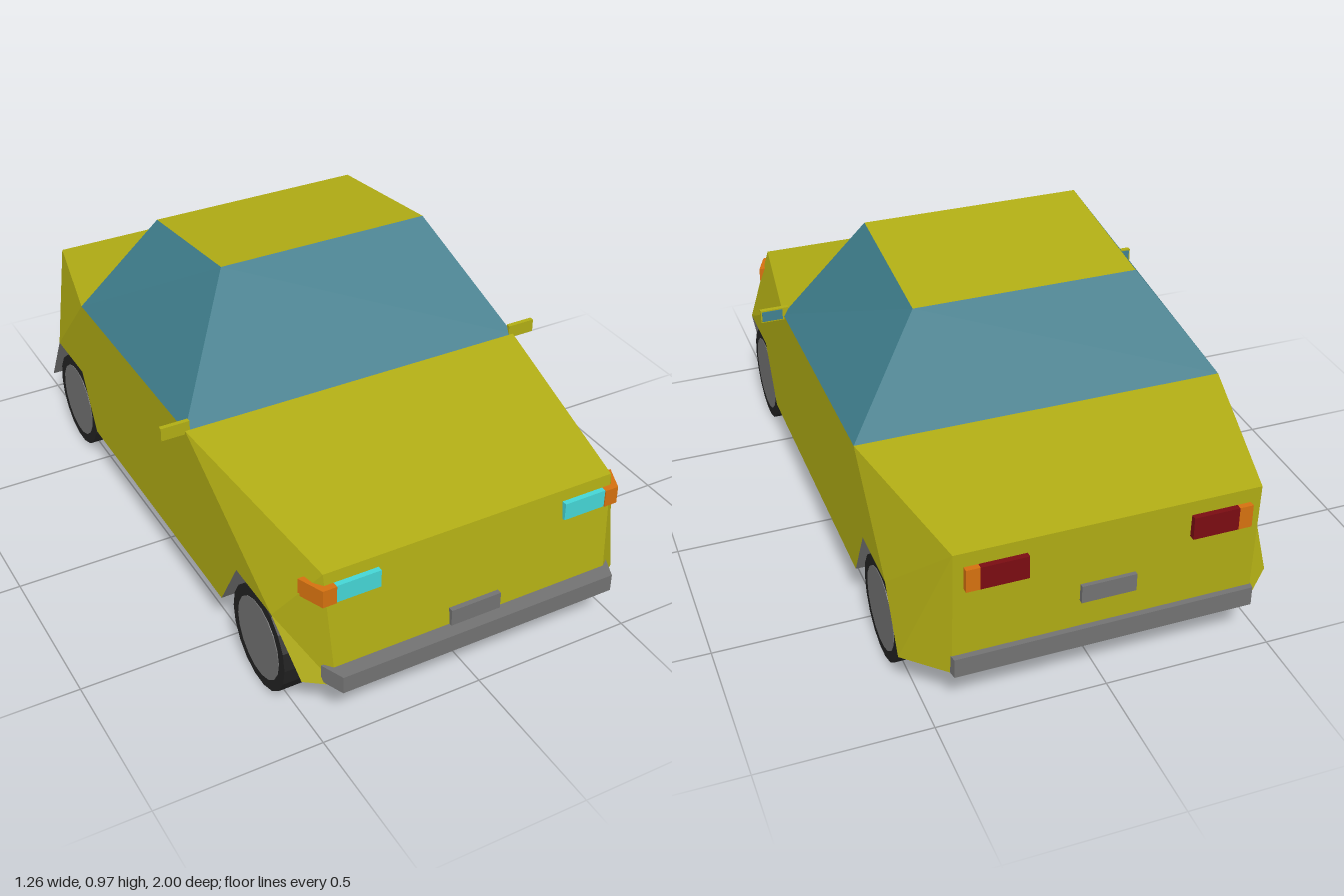
import * as THREE from 'three';

const mat = (color, side = THREE.FrontSide) =>
  new THREE.MeshStandardMaterial({ color, side, flatShading: true });
const paint = mat(0xb0ac14);
const glass = mat(0x40808f);
const trim = mat(0x727272);
const liner = mat(0x727272, THREE.DoubleSide);
const under = mat(0x333333, THREE.DoubleSide);
const rubber = mat(0x222222);
const lamp = mat(0x45d5d5);
const amber = mat(0xd4700f);
const red = mat(0x7a0c12);

// Corners on the left (+x) half of the body
const P = {
  beltF: [0.555, 0.605, 0.29], beltR: [0.555, 0.605, -0.5],
  hood: [0.46, 0.51, 0.92], nose: [0.44, 0.15, 0.96],
  deck: [0.44, 0.55, -0.985], tail: [0.44, 0.15, -0.97],
  roofF: [0.335, 0.975, 0.09], roofR: [0.335, 0.92, -0.365],
};
const frontArch = [[0.515, 0.15, 0.905], [0.555, 0.33, 0.81], [0.555, 0.33, 0.6], [0.555, 0.15, 0.495]];
const rearArch = [[0.555, 0.15, -0.455], [0.555, 0.33, -0.55], [0.555, 0.33, -0.76], [0.555, 0.15, -0.86]];
const WELL_X = 0.42;

const flip = ([x, y, z]) => [-x, y, z];
const mirrored = (faces) => [...faces, ...faces.map((f) => f.map(flip).reverse())];
// Face spanning both halves from edge a-b
const across = (a, b) => [a, b, flip(b), flip(a)];

// Mesh from convex polygons, each split as a fan
function polyMesh(name, faces, material) {
  const pos = [];
  for (const f of faces)
    for (let i = 1; i < f.length - 1; i++) pos.push(...f[0], ...f[i], ...f[i + 1]);
  const g = new THREE.BufferGeometry();
  g.setAttribute('position', new THREE.Float32BufferAttribute(pos, 3));
  g.computeVertexNormals();
  const m = new THREE.Mesh(g, material);
  m.name = name;
  return m;
}

// Upright prism from a plan outline of [x, z] points
function prism(name, plan, y0, y1, material) {
  const shape = new THREE.Shape(plan.map(([x, z]) => new THREE.Vector2(x, -z)));
  const g = new THREE.ExtrudeGeometry(shape, { depth: y1 - y0, bevelEnabled: false });
  g.rotateX(-Math.PI / 2).translate(0, y0, 0);
  const m = new THREE.Mesh(g, material);
  m.name = name;
  return m;
}

// Box given by its limits
function box(name, [x0, x1], [y0, y1], [z0, z1], material) {
  const m = new THREE.Mesh(new THREE.BoxGeometry(x1 - x0, y1 - y0, z1 - z0), material);
  m.position.set((x0 + x1) / 2, (y0 + y1) / 2, (z0 + z1) / 2);
  m.name = name;
  return m;
}

function wheel(name, x, z) {
  const g = new THREE.Group();
  g.name = name;
  const tyre = new THREE.Mesh(new THREE.CylinderGeometry(0.156, 0.156, 0.105, 18), rubber);
  tyre.name = 'tyre';
  const hub = new THREE.Mesh(new THREE.CylinderGeometry(0.123, 0.123, 0.109, 18), trim);
  hub.name = 'hub';
  g.add(tyre, hub);
  g.rotation.z = Math.PI / 2;
  g.position.set(x, 0.156, z);
  return g;
}

export function createModel() {
  const car = new THREE.Group();
  car.name = 'car';
  const { beltF, beltR, hood, nose, deck, tail, roofF, roofR } = P;
  const [f0, f1, f2, f3] = frontArch;
  const [r0, r1, r2, r3] = rearArch;

  // Painted body shell
  car.add(polyMesh('sidePanels', mirrored([
    [beltF, hood, f1], [hood, nose, f0, f1], [beltF, f1, f2], [beltF, f2, f3],
    [beltF, f3, r0, beltR],
    [beltR, r0, r1], [beltR, r1, r2], [beltR, r2, deck], [deck, r2, r3, tail],
  ]), paint));
  car.add(polyMesh('hood', [across(beltF, hood).reverse()], paint));
  car.add(polyMesh('nosePanel', [across(hood, nose).reverse()], paint));
  car.add(polyMesh('trunkLid', [across(beltR, deck)], paint));
  car.add(polyMesh('tailPanel', [across(tail, deck).reverse()], paint));
  car.add(polyMesh('roof', [across(roofF, roofR)], paint));

  // Windows
  car.add(polyMesh('windows', [
    across(beltF, roofF), across(roofR, beltR),
    ...mirrored([[beltF, beltR, roofR, roofF]]),
  ], glass));

  // Wheel wells: arch edge swept inward, closed by an inner wall
  const inward = ([, y, z]) => [WELL_X, y, z];
  for (const [name, arch] of [['frontWheelWells', frontArch], ['rearWheelWells', rearArch]]) {
    const faces = [arch.map(inward)];
    for (let i = 0; i < 3; i++)
      faces.push([arch[i], arch[i + 1], inward(arch[i + 1]), inward(arch[i])]);
    car.add(polyMesh(name, mirrored(faces), liner));
  }

  // Floor in strips along z, notched at the wheels: z, half width, z, half width
  const strips = [
    [0.96, 0.44, 0.905, 0.515], [0.905, WELL_X, 0.495, WELL_X], [0.495, 0.555, -0.455, 0.555],
    [-0.455, WELL_X, -0.86, WELL_X], [-0.86, 0.555, -0.97, 0.44],
  ];
  car.add(polyMesh('floor',
    strips.map(([za, xa, zb, xb]) => across([xa, 0.15, za], [xb, 0.15, zb])), under));

  // Bumpers and plates
  car.add(prism('frontBumper', [[-0.47, 0.93], [-0.44, 1], [0.44, 1], [0.47, 0.93]], 0.155, 0.21, trim));
  car.add(prism('rearBumper', [[-0.445, -0.96], [0.445, -0.96], [0.44, -0.99], [-0.44, -0.99]], 0.15, 0.21, trim));
  car.add(box('frontPlate', [-0.08, 0.08], [0.2, 0.263], [0.935, 0.963], trim));
  car.add(box('rearPlate', [-0.08, 0.08], [0.3, 0.355], [-0.99, -0.965], trim));

  // Paired parts
  for (const [side, s] of [['left', 1], ['right', -1]]) {
    const span = (a, b) => (s > 0 ? [a, b] : [-b, -a]);
    const add = (name, x, y, z, m) => car.add(box(side + name, span(...x), y, z, m));
    add('Headlight', [0.295, 0.43], [0.42, 0.475], [0.91, 0.94], lamp);
    car.add(prism(side + 'FrontIndicator',
      [[0.43, 0.943], [0.472, 0.943], [0.505, 0.865], [0.43, 0.865]].map(([x, z]) => [x * s, z]),
      0.42, 0.475, amber));
    add('TailLight', [0.235, 0.37], [0.435, 0.505], [-1, -0.97], red);
    add('RearIndicator', [0.37, 0.41], [0.435, 0.505], [-1, -0.97], amber);
    add('Mirror', [0.54, 0.628], [0.594, 0.635], [0.276, 0.29], paint);
    add('MirrorGlass', [0.56, 0.624], [0.598, 0.631], [0.274, 0.28], glass);
    car.add(wheel(side + 'FrontWheel', s * 0.488, 0.7));
    car.add(wheel(side + 'RearWheel', s * 0.488, -0.655));
  }
  return car;
}
